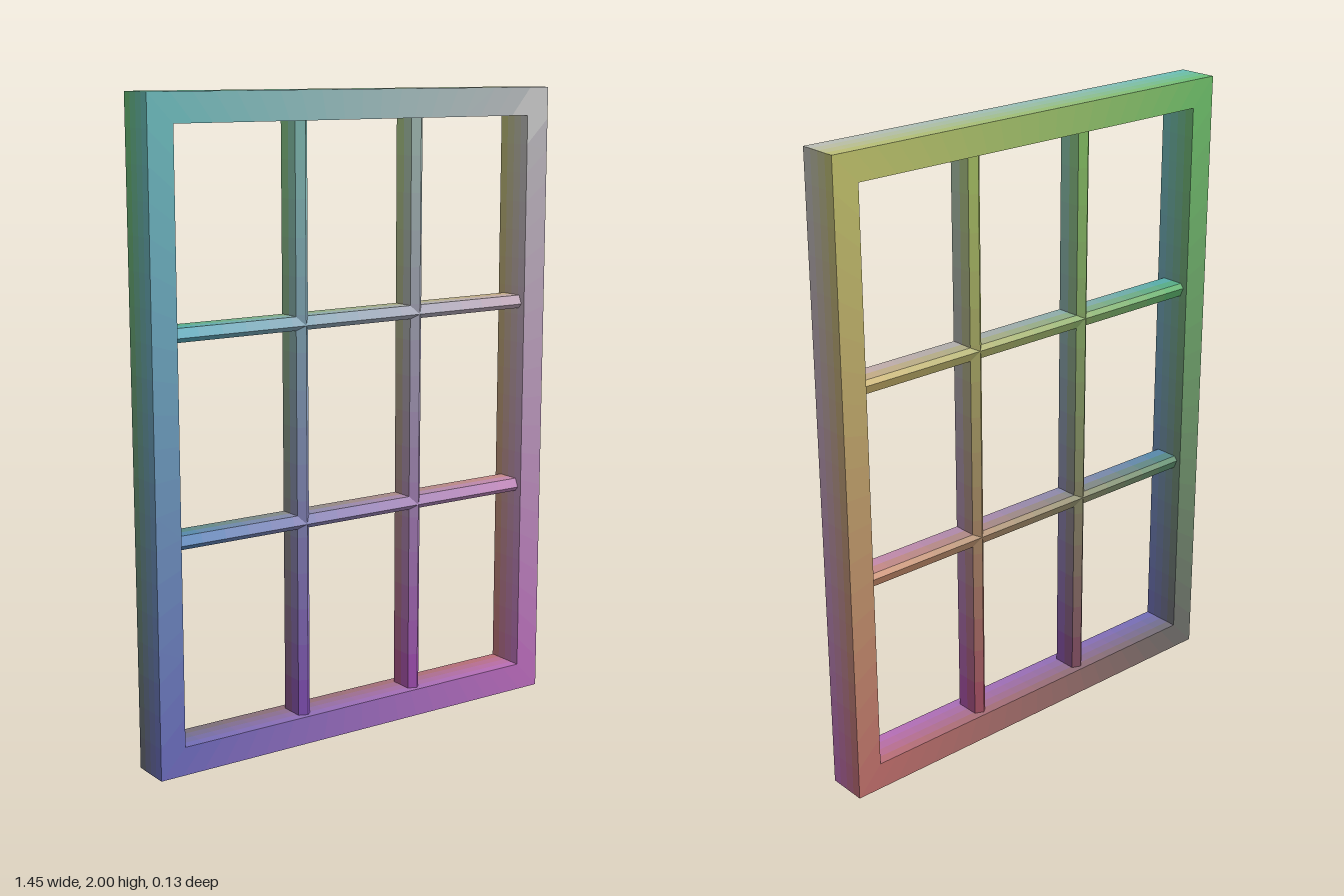
import * as THREE from 'three';

const HALF_W = 0.724, HEIGHT = 2, HALF_D = 0.064;
const STILE = 0.083, RAIL = 0.088; // face widths of the frame's sides and its top and bottom
const INNER_X = HALF_W - STILE;

const materials = new Map();

// Paint blending with position: red along x, green along y, blue along z
function paint(p, [low, high]) {
  const mix = (t) => THREE.MathUtils.lerp(low, high, THREE.MathUtils.clamp(t, 0, 1));
  const color = new THREE.Color(
    mix(p.x / (2 * HALF_W) + 0.5), mix(p.y / HEIGHT), mix(p.z / (2 * HALF_D) + 0.5));
  const key = color.getHex();
  if (!materials.has(key)) {
    materials.set(key, new THREE.MeshStandardMaterial({ color, flatShading: true }));
  }
  return materials.get(key);
}

// Skin consecutive closed cross-sections, painting each small panel by its centre
function sweep(name, sections, range) {
  const points = [], panels = [];
  const geometry = new THREE.BufferGeometry();
  for (let i = 0; i < sections.length - 1; i++) {
    const count = sections[i].length;
    for (let j = 0; j < count; j++) {
      const k = (j + 1) % count;
      const a = sections[i][j], b = sections[i + 1][j];
      const c = sections[i + 1][k], d = sections[i][k];
      points.push(a, b, c, a, c, d);
      geometry.addGroup(panels.length * 6, 6, panels.length);
      panels.push(paint(a.clone().add(b).add(c).add(d).multiplyScalar(0.25), range));
    }
  }
  geometry.setFromPoints(points);
  geometry.computeVertexNormals();
  const mesh = new THREE.Mesh(geometry, panels);
  mesh.name = name;
  return mesh;
}

// Rectangular frame section carried round the four mitred corners
function outerFrame() {
  const corner = (k, inset) => new THREE.Vector3(
    (k % 4 === 1 || k % 4 === 2 ? 1 : -1) * (HALF_W - inset * STILE),
    k % 4 >= 2 ? HEIGHT - inset * RAIL : inset * RAIL, 0);
  const depths = [-1, -0.5, 0, 0.5, 1].map((t) => t * HALF_D);
  const profile = [
    ...depths.map((z) => [0, z]),
    ...depths.map((z) => [1, -z]),
  ];
  const steps = 20, sections = [];
  for (let s = 0; s <= 4 * steps; s++) {
    const k = Math.floor(s / steps), t = (s % steps) / steps;
    sections.push(profile.map(([inset, z]) =>
      corner(k, inset).lerp(corner(k + 1, inset), t).setZ(z)));
  }
  return sweep('outerFrame', sections, [0.14, 0.52]);
}

// Glazing bar: straight sides chamfered to a narrow flat front and back
function glazingBar(name, length, place) {
  const side = 0.021, tip = 0.007, shoulder = 0.038, face = 0.05;
  const half = [[side, -shoulder], [side, 0], [side, shoulder], [tip, face]];
  const profile = [...half, ...half.map(([u, z]) => [-u, -z])];
  const steps = 16, sections = [];
  for (let s = 0; s <= steps; s++) {
    const along = (s / steps - 0.5) * length;
    sections.push(profile.map(([u, z]) => place(along, u, z)));
  }
  return sweep(name, sections, [0.05, 0.6]);
}

export function createModel() {
  const group = new THREE.Group();
  group.name = 'windowFrame';
  group.add(outerFrame());

  // Two upright bars and two crossbars divide the opening into nine panes
  [-0.202, 0.222].forEach((x, i) => {
    group.add(glazingBar(`verticalBar${i + 1}`, HEIGHT - 2 * RAIL,
      (along, u, z) => new THREE.Vector3(x + u, HEIGHT / 2 + along, z)));
  });
  [0.706, 1.316].forEach((y, i) => {
    group.add(glazingBar(`horizontalBar${i + 1}`, 2 * INNER_X,
      (along, u, z) => new THREE.Vector3(along, y - u, z)));
  });
  return group;
}
